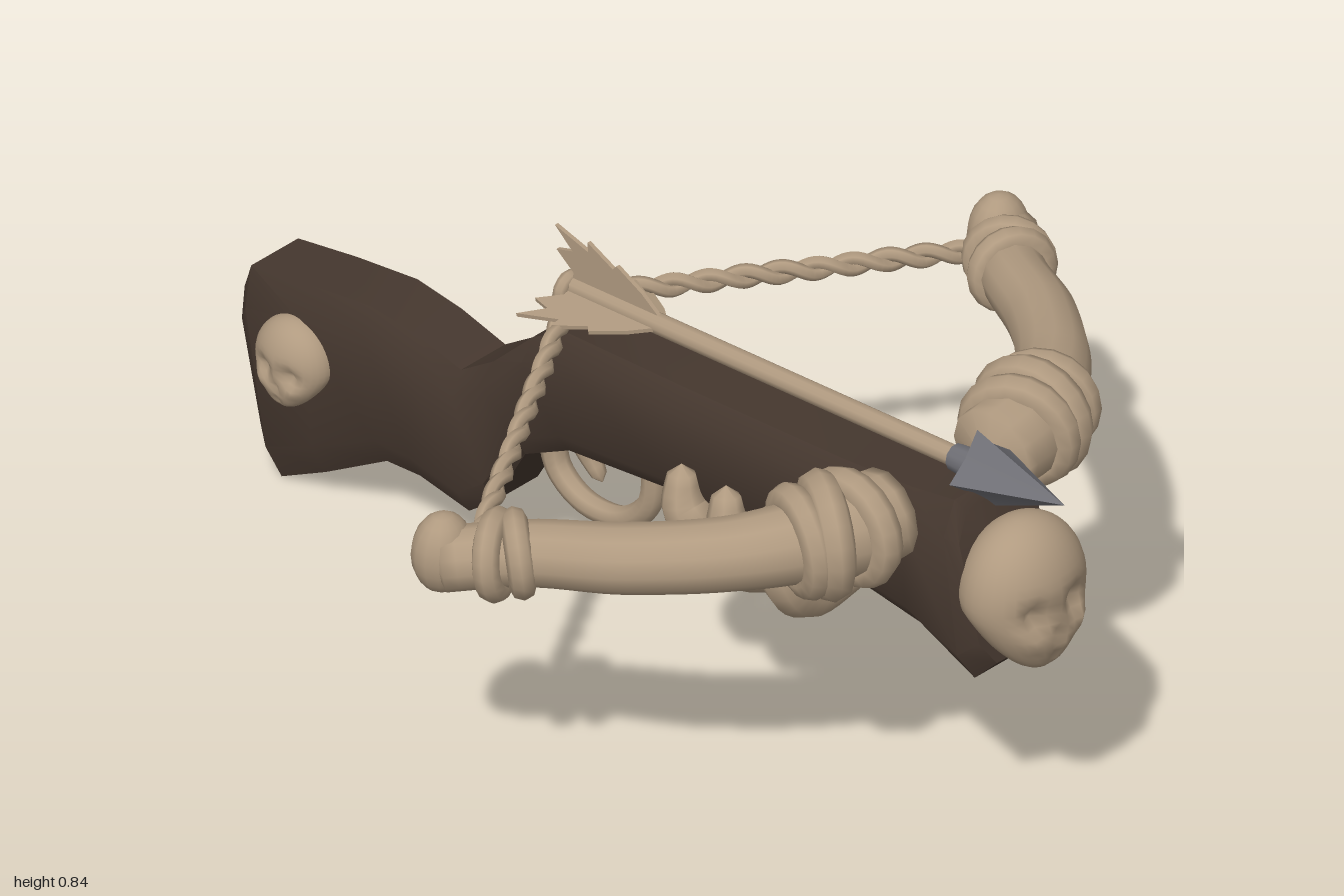
import * as THREE from 'three';
import { mergeVertices, toCreasedNormals } from 'three/addons/utils/BufferGeometryUtils.js';

const mat = (name, color, side = THREE.FrontSide) => {
  const m = new THREE.MeshStandardMaterial({ color, side });
  m.name = name;
  return m;
};
const V = (a) => new THREE.Vector3(...a);

export function createModel() {
  const wood = mat('dark wood', 0x46382f);
  const bone = mat('bone', 0xb09a80, THREE.DoubleSide);
  const steel = mat('steel', 0x6e6e74);
  const model = new THREE.Group();
  model.name = 'crossbow';

  const add = (name, geo, material, parent = model) => {
    const mesh = new THREE.Mesh(geo, material);
    mesh.name = name;
    parent.add(mesh);
    return mesh;
  };
  const smooth = (geo) => {
    geo.deleteAttribute('uv');
    geo.deleteAttribute('normal');
    const g = mergeVertices(geo, 1e-5);
    g.computeVertexNormals();
    return g;
  };
  // Tube whose radius follows a list spread evenly along the path
  const taper = (points, radii, segs = 16, sides = 8) => {
    const curve = new THREE.CatmullRomCurve3(points.map(V));
    const geo = new THREE.TubeGeometry(curve, segs, 1, sides);
    const p = geo.attributes.position, v = new THREE.Vector3();
    for (let i = 0; i <= segs; i++) {
      const t = i / segs, c = curve.getPointAt(t);
      const f = t * (radii.length - 1), k = Math.min(Math.floor(f), radii.length - 2);
      let r = THREE.MathUtils.lerp(radii[k], radii[k + 1], f - k);
      if (i === 0 || i === segs) r = 0.0005; // closed tips
      for (let j = 0; j <= sides; j++) {
        const n = i * (sides + 1) + j;
        v.fromBufferAttribute(p, n).sub(c).multiplyScalar(r).add(c);
        p.setXYZ(n, v.x, v.y, v.z);
      }
    }
    return smooth(geo);
  };

  // Stock: stations of top x, top y, bottom x, bottom y, half width
  const stations = [
    [-1.0, 0.35, -0.93, 0.04, 0.06], [-0.965, 0.42, -0.89, 0.004, 0.088],
    [-0.82, 0.447, -0.78, 0.065, 0.09], [-0.67, 0.47, -0.63, 0.158, 0.088],
    [-0.56, 0.46, -0.55, 0.163, 0.085], [-0.45, 0.435, -0.43, 0.143, 0.083],
    [-0.37, 0.49, -0.37, 0.19, 0.083], [-0.27, 0.59, -0.29, 0.33, 0.085],
    [-0.18, 0.64, -0.18, 0.39, 0.088], [0.1, 0.66, 0.1, 0.43, 0.092],
    [0.5, 0.695, 0.5, 0.458, 0.1], [0.68, 0.72, 0.7, 0.44, 0.108],
    [0.79, 0.745, 0.84, 0.388, 0.115], [0.81, 0.725, 0.885, 0.435, 0.1],
  ];
  const ring = [[-1, 0.17], [-0.68, 0], [0.68, 0], [1, 0.17], [1, 0.83], [0.68, 1], [-0.68, 1], [-1, 0.83]];
  const pos = [], idx = [], N = ring.length, last = (stations.length - 1) * N;
  for (const [tx, ty, bx, by, w] of stations)
    for (const [z, f] of ring) pos.push(bx + (tx - bx) * f, by + (ty - by) * f, z * w);
  for (let o = 0; o < last; o += N)
    for (let j = 0; j < N; j++) {
      const a = o + j, b = o + (j + 1) % N;
      idx.push(a, b, a + N, b, b + N, a + N);
    }
  for (let j = 1; j < N - 1; j++) idx.push(0, j + 1, j, last, last + j, last + j + 1);
  const stockGeo = new THREE.BufferGeometry();
  stockGeo.setAttribute('position', new THREE.Float32BufferAttribute(pos, 3));
  // Make the winding face outward
  const probe = () => {
    let vol = 0;
    for (let i = 0; i < idx.length; i += 3) {
      const [a, b, c] = [0, 1, 2].map((k) => V(pos.slice(idx[i + k] * 3, idx[i + k] * 3 + 3)));
      vol += a.dot(b.cross(c));
    }
    return vol;
  };
  if (probe() < 0) idx.reverse();
  stockGeo.setIndex(idx);
  add('stock', toCreasedNormals(stockGeo, 0.7), wood);

  // Skull facing +z: rounded cranium, sunken eyes and nose, narrow jaw
  const skullGeo = () => {
    const geo = new THREE.SphereGeometry(1, 32, 24), p = geo.attributes.position;
    for (let i = 0; i < p.count; i++) {
      let x = p.getX(i), y = p.getY(i), z = p.getZ(i);
      const dent = (cx, cy, r) => Math.exp(-((x - cx) ** 2 + (y - cy) ** 2) / (r * r));
      const front = z > 0 ? 1 : 0;
      const push = front * (0.32 * (dent(0.36, -0.12, 0.2) + dent(-0.36, -0.12, 0.2))
        + 0.2 * dent(0, -0.45, 0.12) - 0.12 * (dent(0.55, -0.42, 0.16) + dent(-0.55, -0.42, 0.16))
        + 0.12 * dent(0, -0.78, 0.12));
      const k = Math.max(0, (-y - 0.1) / 0.9);
      z = z * (1 - 0.25 * k) + 0.45 * k - push;
      x *= 1 - 0.25 * k;
      y = Math.max(y, -0.92) * (y < 0 ? 1.08 : 1);
      p.setXYZ(i, x, y, z);
    }
    return smooth(geo);
  };
  const skull = (name, at, size, turn) => {
    const m = add(name, skullGeo(), bone);
    m.position.set(...at);
    m.scale.set(...size);
    m.rotation.y = turn;
  };
  skull('muzzleSkull', [0.882, 0.573, 0], [0.128, 0.14, 0.1], Math.PI / 2);
  skull('leftStockSkull', [-0.825, 0.305, 0.09], [0.083, 0.082, 0.06], 0);
  skull('rightStockSkull', [-0.825, 0.305, -0.09], [0.083, 0.082, 0.06], Math.PI);

  // Bow limbs, bindings and string, one set for each side
  for (const s of [1, -1]) {
    const side = new THREE.Group();
    side.name = s > 0 ? 'leftBow' : 'rightBow';
    model.add(side);
    const path = [[0.68, 0.69, 0.11], [0.66, 0.695, 0.24], [0.57, 0.685, 0.4], [0.42, 0.665, 0.53],
      [0.26, 0.645, 0.62], [0.13, 0.625, 0.735]].map(([x, y, z]) => [x, y, z * s]);
    add('limb', taper(path, [0.085, 0.09, 0.075, 0.068, 0.066, 0.065, 0.062, 0.06, 0.06], 36, 12), bone, side);
    const knob = add('limbTip', new THREE.SphereGeometry(1, 14, 10), bone, side);
    knob.position.set(0.137, 0.635, 0.71 * s);
    knob.scale.set(0.055, 0.08, 0.06);

    const curve = new THREE.CatmullRomCurve3(path.map(V));
    const bind = (t, r, tube, tilt) => {
      const m = add('binding', new THREE.TorusGeometry(r, tube, 8, 18), bone, side);
      m.position.copy(curve.getPointAt(t));
      m.lookAt(m.position.clone().add(curve.getTangentAt(t)));
      m.rotateY(tilt);
    };
    bind(0.12, 0.085, 0.032, 0.2);
    bind(0.18, 0.088, 0.034, -0.15);
    bind(0.235, 0.08, 0.03, 0.12);
    bind(0.82, 0.06, 0.025, 0.2);
    bind(0.865, 0.062, 0.026, -0.25);

    // Twisted string made of two strands
    const a = V([0.16, 0.64, 0.645 * s]), b = V([-0.235, 0.665, 0.0]);
    const dir = b.clone().sub(a).normalize(), u = new THREE.Vector3(0, 1, 0).cross(dir).normalize();
    const w = dir.clone().cross(u);
    for (const phase of [0, Math.PI]) {
      const pts = [];
      for (let i = 0; i <= 48; i++) {
        const ang = i * 0.75 + phase;
        pts.push(a.clone().lerp(b, i / 48).addScaledVector(u, Math.cos(ang) * 0.008)
          .addScaledVector(w, Math.sin(ang) * 0.011));
      }
      add('stringStrand', new THREE.TubeGeometry(new THREE.CatmullRomCurve3(pts), 96, 0.013, 6), bone, side);
    }
  }
  const nock = add('stringLoop', new THREE.TorusGeometry(0.026, 0.014, 8, 14), bone);
  nock.position.set(-0.235, 0.68, 0);
  nock.rotation.y = Math.PI / 2;

  // Bolt, built along +x and tilted slightly upward
  const bolt = new THREE.Group();
  bolt.name = 'bolt';
  bolt.position.set(-0.25, 0.69, 0);
  bolt.rotation.z = 0.078;
  model.add(bolt);
  const shaft = add('shaft', new THREE.CylinderGeometry(0.02, 0.02, 1.03, 10), bone, bolt);
  shaft.rotation.z = -Math.PI / 2;
  shaft.position.x = 0.515;
  const feather = new THREE.Shape([[0.26, 0], [0.2, 0.05], [0.14, 0.085], [0.13, 0.075], [0.07, 0.108], [0.07, 0.088],
    [-0.01, 0.115], [0.03, 0.075], [-0.01, 0.065], [0.03, 0.03], [0.02, 0]].map((q) => new THREE.Vector2(...q)));
  const featherGeo = new THREE.ExtrudeGeometry(feather, { depth: 0.008, bevelEnabled: false });
  featherGeo.translate(0, 0, -0.004);
  for (const turn of [0, 1.75, -1.75]) add('feather', featherGeo, bone, bolt).rotation.x = turn;

  // Four-bladed head with hollow flats
  const headGeo = new THREE.ConeGeometry(0.078, 0.21, 8);
  const hp = headGeo.attributes.position;
  for (let i = 0; i < hp.count; i++) {
    const x = hp.getX(i), z = hp.getZ(i);
    const corner = Math.abs(x) > 0.02 && Math.abs(z) > 0.02;
    if (corner) hp.setXYZ(i, x * 0.62, hp.getY(i), z * 0.62);
    if (Math.hypot(x, z) < 0.01 && hp.getY(i) < 0) hp.setY(i, -0.07);
  }
  const head = add('boltHead', toCreasedNormals(headGeo, 0.3), steel, bolt);
  head.rotation.z = -Math.PI / 2;
  head.position.x = 1.135;
  const socket = add('headSocket', new THREE.CylinderGeometry(0.034, 0.026, 0.1, 10), steel, bolt);
  socket.rotation.z = -Math.PI / 2;
  socket.position.x = 1.02;

  // Trigger and guard
  add('triggerGuard', taper([[-0.28, 0.38, 0], [-0.265, 0.29, 0], [-0.2, 0.245, 0], [-0.1, 0.255, 0],
    [-0.035, 0.32, 0], [-0.025, 0.45, 0]], [0.026, 0.024, 0.022, 0.024, 0.026], 28, 8), bone);
  add('trigger', taper([[-0.2, 0.44, 0], [-0.195, 0.37, 0], [-0.155, 0.305, 0]], [0.03, 0.026, 0.012], 10, 8), bone);

  // Hand gripping the fore-end: palm beneath, fingers and thumb curling up
  const hand = new THREE.Group();
  hand.name = 'gripHand';
  model.add(hand);
  const palm = add('palm', new THREE.SphereGeometry(1, 16, 12), bone, hand);
  palm.position.set(0.32, 0.42, -0.06);
  palm.scale.set(0.165, 0.055, 0.165);
  palm.rotation.x = -0.12;
  const heel = add('heel', new THREE.SphereGeometry(1, 16, 12), bone, hand);
  heel.position.set(0.33, 0.435, -0.145);
  heel.scale.set(0.165, 0.075, 0.085);
  for (const [x, tip, low] of [[0.2, 0.575, 0.41], [0.31, 0.58, 0.395], [0.425, 0.6, 0.395]])
    add('finger', taper([[x + 0.01, low, -0.03], [x + 0.02, low, 0.1], [x + 0.02, low + 0.06, 0.155],
      [x, tip - 0.08, 0.16], [x - 0.015, tip, 0.15]], [0.045, 0.046, 0.047, 0.043, 0.022], 18, 8), bone, hand);
  add('thumb', taper([[0.36, 0.42, -0.14], [0.45, 0.46, -0.175], [0.5, 0.53, -0.15], [0.53, 0.6, -0.125]],
    [0.07, 0.06, 0.045, 0.015], 16, 8), bone, hand);

  return model;
}
